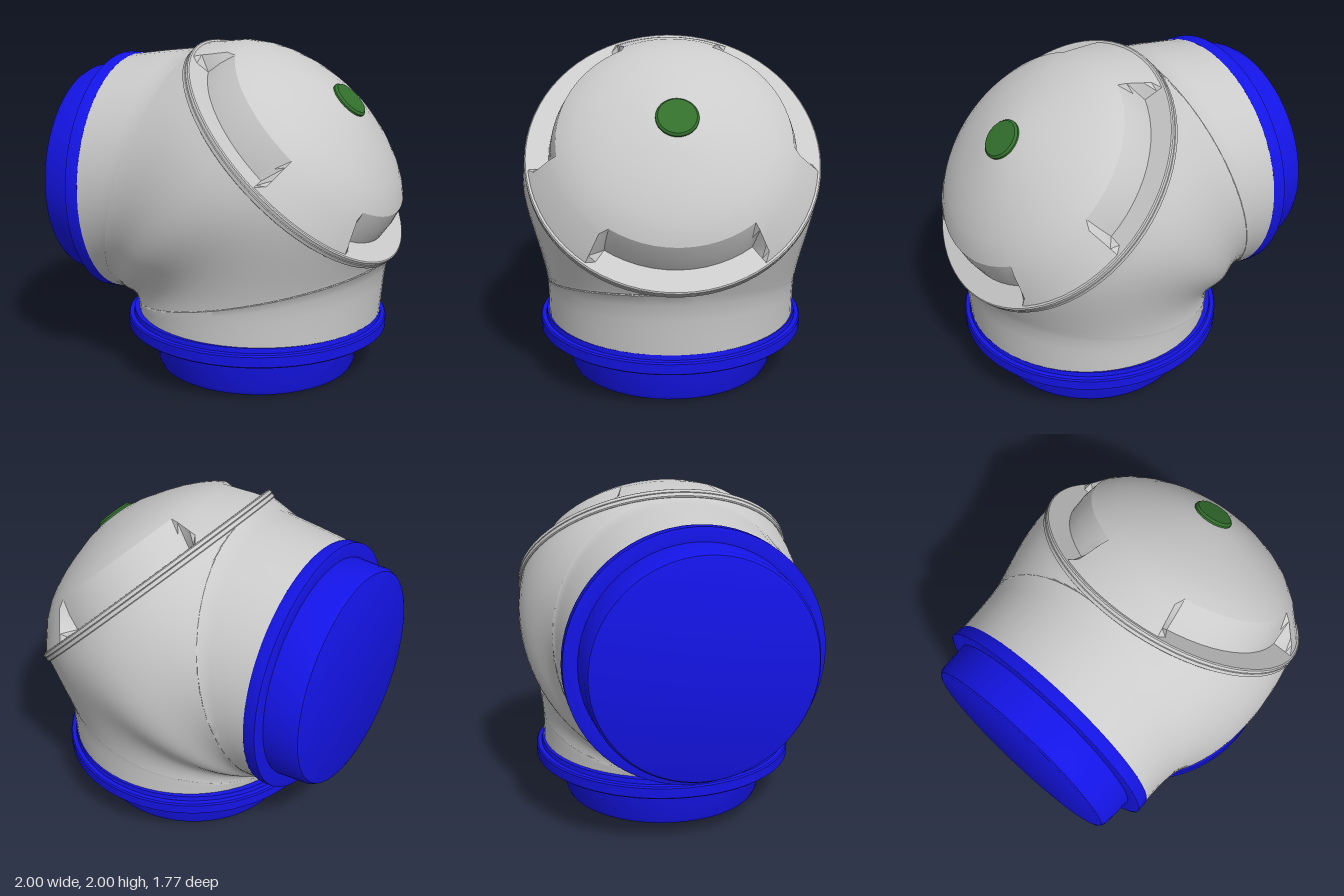
import * as THREE from 'three';
import { toCreasedNormals } from 'three/addons/utils/BufferGeometryUtils.js';

const grey = new THREE.MeshStandardMaterial({ color: 0xcccccc });
const blue = new THREE.MeshStandardMaterial({ color: 0x1414e6 });
const green = new THREE.MeshStandardMaterial({ color: 0x33702d });

function part(name, geometry, material) {
  const mesh = new THREE.Mesh(geometry, material);
  mesh.name = name;
  return mesh;
}

// Skin over equal-length rows of [x, y, z] points
function skin(rows, crease) {
  const n = rows[0].length, index = [];
  for (let j = 0; j < rows.length - 1; j++) {
    for (let i = 0; i < n - 1; i++) {
      const a = j * n + i, b = a + 1, c = a + n, d = c + 1;
      index.push(a, b, c, b, d, c);
    }
  }
  const geo = new THREE.BufferGeometry();
  geo.setAttribute('position', new THREE.Float32BufferAttribute(rows.flat(2), 3));
  geo.setIndex(index);
  return toCreasedNormals(geo, crease);
}

function lathe(profile, segments = 64) {
  const points = profile.map(([r, y]) => new THREE.Vector2(r, y));
  return toCreasedNormals(new THREE.LatheGeometry(points, segments), 0.5);
}

const COVER = { x: 0.375, y: 1.37, r: 0.845, back: -0.032 };

// Elbow shell: sections fanned around the inner corner, cut open at the tilted cover
function elbowGeometry() {
  const px = -0.71, py = 0.365, q = Math.SQRT1_2;
  const outline = [[px, 1.88, 0], [-0.6, 1.897, 0], [-0.48, 1.915, 0], [-0.36, 1.93, 0]];
  for (let k = 0; k <= 32; k++) {
    const t = Math.PI * k / 32, v = COVER.r * Math.cos(t);
    outline.push([
      COVER.x + (COVER.back - v) * q,
      COVER.y + (COVER.back + v) * q,
      COVER.r * Math.sin(t),
    ]);
  }
  outline.push([0.92, 0.68, 0], [0.905, 0.58, 0], [0.895, 0.47, 0], [0.885, py, 0]);

  const rows = outline.map(([x, y, edge]) => {
    const dx = x - px, dy = y - py, reach = Math.hypot(dx, dy);
    const a = Math.atan2(dy, dx), s = a / (Math.PI / 2);
    const inner = 0.10 - 0.07 * s;
    const width = 0.75 - 0.01 * s + 0.14 * Math.sin(2 * a) ** 4;
    const end = Math.PI - Math.asin(Math.min(1, edge / width));
    const depth = (reach - inner) / (1 - Math.cos(end));
    const row = [];
    for (let i = 0; i <= 56; i++) {
      const phi = end * (1 - i / 28);
      const d = inner + depth * (1 - Math.cos(phi));
      row.push([px + d * dx / reach, py + d * dy / reach, width * Math.sin(phi)]);
    }
    return row;
  });
  return skin(rows, 1);
}

// Domed cover with three curved notches around its rim
function domeGeometry() {
  const crown = [[0.67, 0.215], [0.62, 0.257], [0.55, 0.3], [0.45, 0.348], [0.35, 0.385],
    [0.2, 0.43], [0.1, 0.448], [0, 0.454]];
  const full = [[0.835, 0.025], [0.805, 0.065], [0.775, 0.1], [0.71, 0.18], ...crown];
  const notch = [[0.835, 0.025], [0.8, 0.025], [0.715, 0.025], [0.7, 0.12], ...crown];
  const half = [0, 6, 12, 18, 24, 30, 35, 38, 43, 48, 54, 60];
  const sector = [...half.slice(1).reverse().map(a => -a), ...half];
  const rows = [];
  for (const centre of [0, 120, 240]) {
    for (const offset of sector) {
      const a = THREE.MathUtils.degToRad(centre + offset);
      const profile = Math.abs(offset) <= 35 ? notch : full;
      rows.push(profile.map(([r, y]) => [r * Math.cos(a), y, r * Math.sin(a)]));
    }
  }
  return skin(rows, 0.5);
}

export function createModel() {
  const model = new THREE.Group();
  model.name = 'elbowJoint';
  model.add(part('elbowShell', elbowGeometry(), grey));

  // Side connector, its axis along x
  const side = part('sideConnector', lathe([
    [0, 0], [0.62, 0], [0.64, 0.008], [0.655, 0.035], [0.665, 0.21], [0.735, 0.21],
    [0.747, 0.215], [0.747, 0.275], [0.74, 0.29], [0, 0.29],
  ]), blue);
  side.rotation.z = -Math.PI / 2;
  side.position.set(-1, 1.14, 0);
  model.add(side);

  // Bottom connector with a stepped flange
  const base = part('bottomConnector', lathe([
    [0, 0], [0.585, 0], [0.605, 0.008], [0.617, 0.035], [0.63, 0.25], [0.79, 0.255],
    [0.802, 0.265], [0.802, 0.325], [0.795, 0.335], [0.77, 0.337], [0.765, 0.365], [0, 0.365],
  ]), blue);
  base.position.set(0.12, 0, 0);
  model.add(base);

  // Tilted cover: rim, dome and centre button
  const cover = new THREE.Group();
  cover.name = 'cover';
  cover.position.set(COVER.x, COVER.y, 0);
  cover.rotation.z = -Math.PI / 4;
  cover.add(part('coverRim', lathe([
    [0, -0.032], [0.848, -0.032], [0.855, -0.027], [0.855, -0.006], [0.849, -0.003],
    [0.855, 0], [0.855, 0.018], [0.848, 0.024], [0, 0.024],
  ], 72), grey));
  cover.add(part('coverDome', domeGeometry(), grey));
  cover.add(part('coverButton', lathe([
    [0, 0.42], [0.12, 0.42], [0.12, 0.455], [0.108, 0.467], [0, 0.47],
  ], 40), green));
  model.add(cover);

  return model;
}
